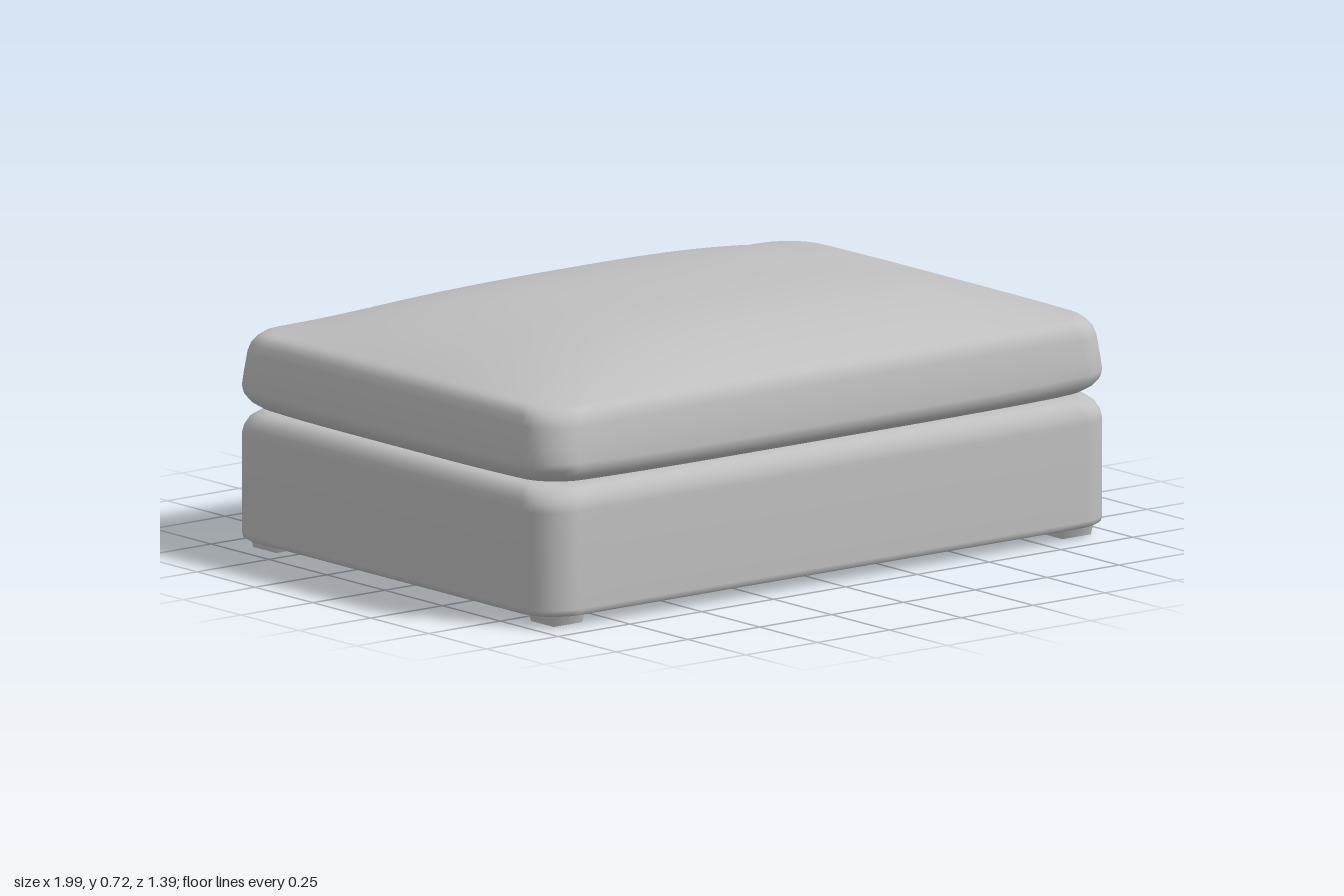
import * as THREE from 'three';

const W = 0.995, D = 0.695; // half width and half depth

// Rounded rectangle in plan, counter-clockwise from above
function plan(inset, radius = 0.11) {
  const w = W - inset, d = D - inset, pts = [];
  const corners = [[1, 1], [-1, 1], [-1, -1], [1, -1]];
  const arc = 8, edge = 14;
  corners.forEach(([sx, sz], c) => {
    for (let i = 0; i <= arc; i++) {
      const a = (c + i / arc) * Math.PI / 2;
      pts.push([sx * (w - radius) + radius * Math.cos(a), -(sz * (d - radius) + radius * Math.sin(a))]);
    }
    // straight run to the start of the next corner
    const [nx, nz] = corners[(c + 1) % 4], a = (c + 1) * Math.PI / 2;
    const end = [nx * (w - radius) + radius * Math.cos(a), -(nz * (d - radius) + radius * Math.sin(a))];
    const from = pts[pts.length - 1];
    for (let i = 1; i < edge; i++) {
      const t = i / edge;
      pts.push([from[0] + (end[0] - from[0]) * t, from[1] + (end[1] - from[1]) * t]);
    }
  });
  return pts;
}

// Skin a stack of rings { inset, scale, y(x, z) }
function skin(rings) {
  const pos = [], index = [];
  let n = 0;
  rings.forEach(({ inset, scale = 1, y }) => {
    const pts = plan(inset);
    n = pts.length;
    pts.forEach(([px, pz]) => {
      const x = px * scale, z = pz * scale;
      pos.push(x, y(x, z), z);
    });
  });
  for (let r = 0; r < rings.length - 1; r++) {
    for (let i = 0; i < n; i++) {
      const j = (i + 1) % n, a = r * n, b = a + n;
      index.push(a + i, a + j, b + j, a + i, b + j, b + i);
    }
  }
  const geo = new THREE.BufferGeometry();
  geo.setAttribute('position', new THREE.Float32BufferAttribute(pos, 3));
  geo.setIndex(index);
  geo.computeVertexNormals();
  return geo;
}

const flat = (inset, y, scale) => ({ inset, scale, y: () => y });

export function createModel() {
  const group = new THREE.Group();
  const fabric = new THREE.MeshStandardMaterial({ color: 0xc0c0c0 });
  fabric.name = 'grey fabric';
  const add = (name, geo) => {
    const mesh = new THREE.Mesh(geo, fabric);
    mesh.name = name;
    group.add(mesh);
    return mesh;
  };

  // Base: recess ceiling, recess walls, rim, outer side, rounded top
  const base = [
    [0.40, 0.32, 0.001], [0.40, 0.32, 0.5], [0.40, 0.32], [0.35, 0.315], [0.31, 0.29], [0.28, 0.24],
    [0.255, 0.15], [0.24, 0.07], [0.235, 0.04], [0.23, 0.03], [0.22, 0.03],
    [0.02, 0.03], [0.01, 0.031], [0.002, 0.037], [0, 0.05], [0, 0.18], [0, 0.32],
    [0.004, 0.343], [0.014, 0.364], [0.03, 0.378], [0.05, 0.384], [0.08, 0.385],
    [0.08, 0.385, 0.5], [0.08, 0.385, 0.001],
  ];
  add('base', skin(base.map(([inset, y, scale]) => flat(inset, y, scale))));

  // Cushion: underside and sides, with the seam lifting a little at the corners
  const lift = (x, z) => 0.014 * (x / W) ** 4 * (z / D) ** 4;
  const sides = [
    [0.09, 0.382, 0.001], [0.09, 0.382], [0.06, 0.386], [0.035, 0.394], [0.016, 0.407], [0.004, 0.425],
    [0, 0.445], [0.004, 0.5], [0.011, 0.555], [0.018, 0.578], [0.028, 0.592], [0.04, 0.602],
  ].map(([inset, y, scale]) => ({ inset, scale, y: (x, z) => y + lift(x, z) * (y < 0.5 ? 1 : -0.6) }));

  // Crowned top
  const swell = (v, half) => 1 - Math.min(1, Math.abs(v) / half) ** 3;
  const top = [0.98, 0.95, 0.91, 0.86, 0.8, 0.72, 0.63, 0.53, 0.42, 0.3, 0.18, 0.08, 0.001].map((scale) => ({
    inset: 0.04,
    scale,
    y: (x, z) => 0.602 - 0.6 * lift(x, z) + 0.115 * swell(x, W - 0.04) * swell(z, D - 0.04),
  }));
  add('cushion', skin([...sides, ...top]));

  // Feet: small tapered square blocks
  for (const sx of [-1, 1]) {
    for (const sz of [-1, 1]) {
      const geo = new THREE.CylinderGeometry(0.078, 0.07, 0.035, 4, 1);
      geo.rotateY(Math.PI / 4);
      const foot = add('foot', geo);
      foot.position.set(sx * 0.885, 0.0175, sz * 0.6);
    }
  }
  return group;
}
